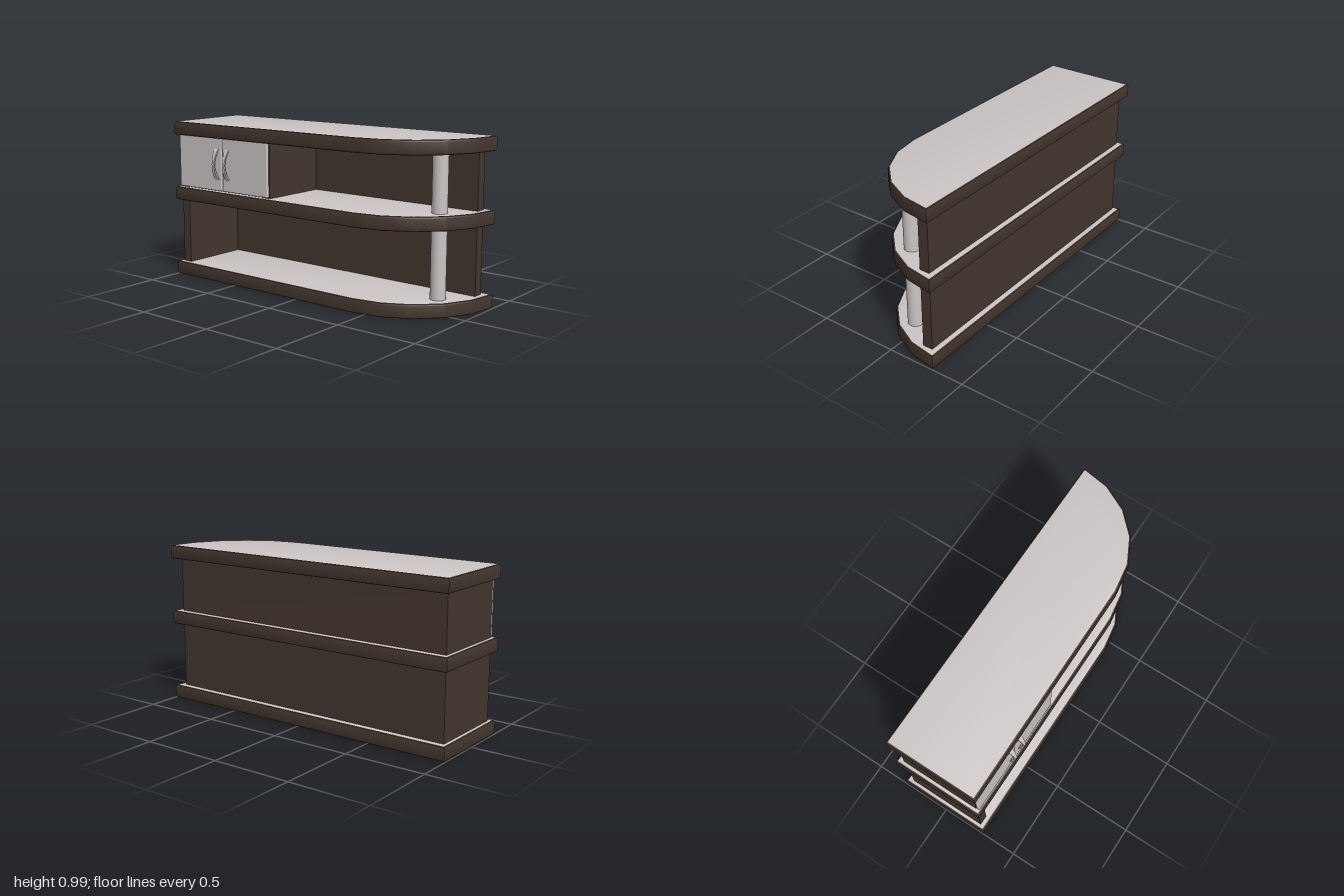
import * as THREE from 'three';
import { toCreasedNormals } from 'three/addons/utils/BufferGeometryUtils.js';
import { RoundedBoxGeometry } from 'three/addons/geometries/RoundedBoxGeometry.js';

const material = (name, color) => {
  const m = new THREE.MeshStandardMaterial({ color });
  m.name = name;
  return m;
};

export function createModel() {
  const group = new THREE.Group();
  const brown = material('dark wood', 0x44362e);
  const light = material('pale grey', 0xcbc6c5);

  const add = (name, geometry, mat) => {
    const mesh = new THREE.Mesh(geometry, mat);
    mesh.name = name;
    group.add(mesh);
    return mesh;
  };
  // Box given by its minimum and maximum corners
  const box = (name, [x0, y0, z0], [x1, y1, z1], mat) => {
    const mesh = add(name, new THREE.BoxGeometry(x1 - x0, y1 - y0, z1 - z0), mat);
    mesh.position.set((x0 + x1) / 2, (y0 + y1) / 2, (z0 + z1) / 2);
  };

  // Shelves: pale faces, dark bevelled rim, quarter-round front corner
  const back = -0.297, front = 0.277, radius = front - back, turn = 0.423, thick = 0.085, bevel = 0.011;
  const outline = [new THREE.Vector2(-0.998, -front)];
  for (let i = 0; i <= 5; i++) {
    const a = (i / 5) * Math.PI / 2;
    outline.push(new THREE.Vector2(turn + radius * Math.sin(a), -back - radius * Math.cos(a)));
  }
  outline.push(new THREE.Vector2(-0.998, -back));
  const shelfGeometry = toCreasedNormals(new THREE.ExtrudeGeometry(new THREE.Shape(outline), {
    depth: thick - 2 * bevel, bevelThickness: bevel, bevelSize: bevel, bevelOffset: -bevel, bevelSegments: 2,
  }).translate(0, 0, bevel).rotateX(-Math.PI / 2), 0.42);
  [['bottomShelf', 0], ['middleShelf', 0.491], ['topShelf', 0.909]].forEach(([name, y]) => {
    add(name, shelfGeometry, [light, brown]).position.y = y;
  });

  // Panels and pole of both storeys
  [['lower', 0.085, 0.491], ['upper', 0.576, 0.909]].forEach(([level, y0, y1]) => {
    box(level + 'BackPanel', [-0.91, y0, -0.255], [0.945, y1, -0.192], brown);
    box(level + 'SidePanel', [-0.97, y0, -0.255], [-0.91, y1, 0.243], brown);
    const pole = add(level + 'Pole', new THREE.CylinderGeometry(0.045, 0.045, y1 - y0, 32), light);
    pole.position.set(0.805, (y0 + y1) / 2, -0.02);
  });
  box('cabinetDivider', [-0.28, 0.576, -0.192], [-0.218, 0.909, 0.243], brown);

  // Bowed handle with a narrow waist, swept from rectangular sections
  const handleGeometry = () => {
    const n = 12, corners = [], index = [];
    for (let i = 0; i <= n; i++) {
      const t = (i / n) * 2 - 1;
      const w = 0.009 + 0.008 * t * t;
      const y = 0.098 * t, z = 0.034 * (1 - t * t);
      corners.push(-w, y, z, w, y, z, w, y * 0.97, z - 0.01, -w, y * 0.97, z - 0.01);
      if (i === n) break;
      for (let k = 0; k < 4; k++) {
        const a = i * 4 + k, b = i * 4 + (k + 1) % 4;
        index.push(a, b, b + 4, a, b + 4, a + 4);
      }
    }
    const e = n * 4;
    index.push(0, 2, 1, 0, 3, 2, e, e + 1, e + 2, e, e + 2, e + 3);
    const g = new THREE.BufferGeometry();
    g.setAttribute('position', new THREE.Float32BufferAttribute(corners, 3));
    g.setIndex(index);
    return toCreasedNormals(g, 0.6);
  };

  // Pair of doors mirrored about their meeting line
  const middle = -0.595;
  [['right', -1], ['left', 1]].forEach(([side, s]) => {
    const door = add(side + 'Door', new RoundedBoxGeometry(0.369, 0.326, 0.021, 2, 0.006), light);
    door.position.set(middle + s * 0.188, 0.745, 0.253);
    const handle = add(side + 'Handle', handleGeometry(), light);
    handle.position.set(middle + s * 0.044, 0.748, 0.263);
  });
  return group;
}
